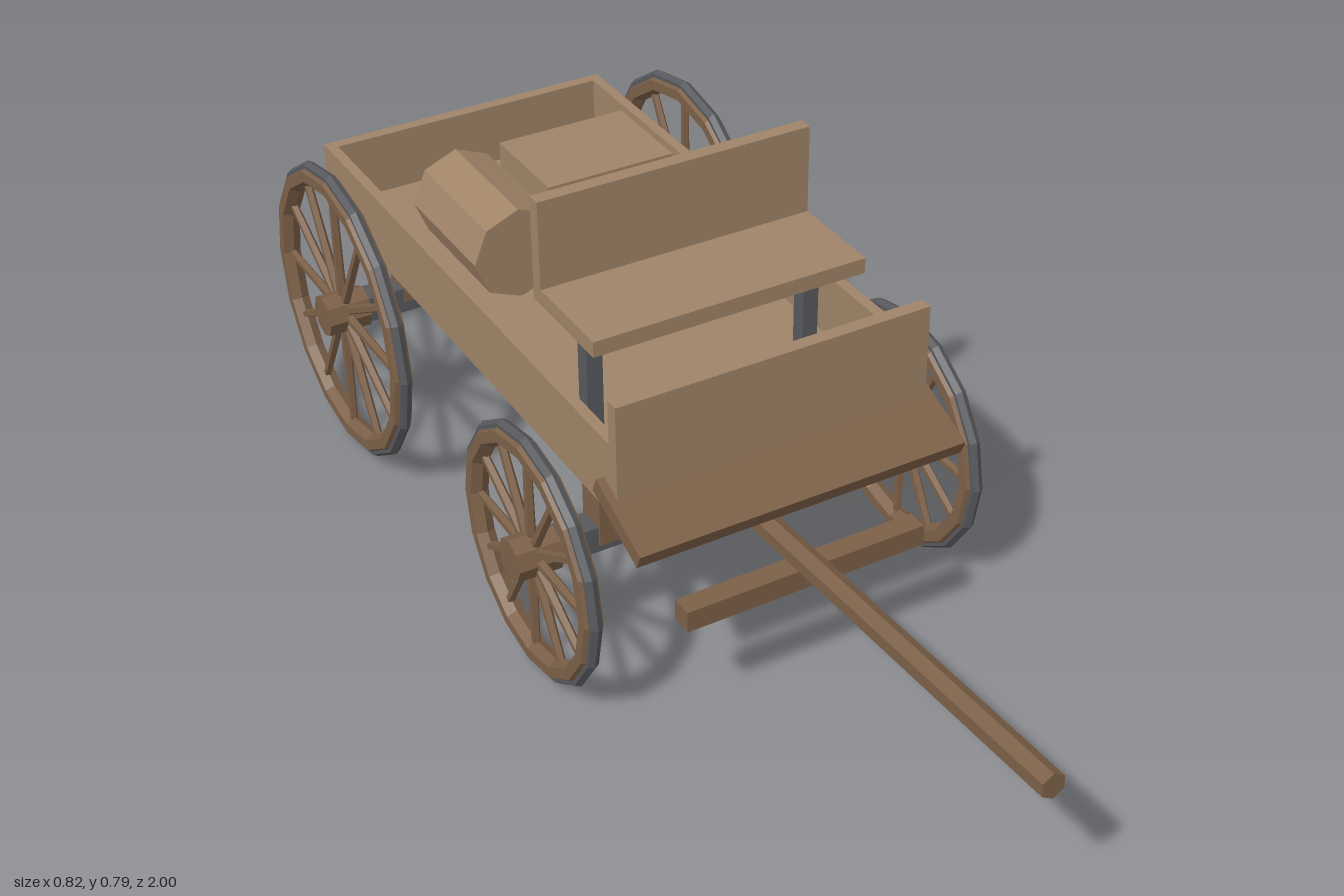
import * as THREE from 'three';

const mat = (name, color) => {
  const m = new THREE.MeshStandardMaterial({ color });
  m.name = name;
  m.flatShading = true;
  return m;
};

export function createModel() {
  const paleWood = mat('pale wood', 0xa08468);
  const darkWood = mat('dark wood', 0x7c6048);
  const iron = mat('iron', 0x58595d);

  const wagon = new THREE.Group();
  wagon.name = 'wagon';

  const add = (name, geometry, material, parent = wagon) => {
    const mesh = new THREE.Mesh(geometry, material);
    mesh.name = name;
    parent.add(mesh);
    return mesh;
  };
  // Box given by its limits on each axis
  const box = (name, material, [x0, x1], [y0, y1], [z0, z1]) => {
    const mesh = add(name, new THREE.BoxGeometry(x1 - x0, y1 - y0, z1 - z0), material);
    mesh.position.set((x0 + x1) / 2, (y0 + y1) / 2, (z0 + z1) / 2);
    return mesh;
  };

  // Wagon bed
  box('floor', paleWood, [-0.285, 0.285], [0.367, 0.4], [-0.925, 0.22]);
  box('tailgate', paleWood, [-0.295, 0.295], [0.395, 0.52], [-0.933, -0.91]);
  box('dashboard', paleWood, [-0.295, 0.295], [0.39, 0.602], [0.21, 0.235]);
  for (const s of [-1, 1]) {
    const wall = box('sideWall', paleWood, [-0.01, 0.01], [0.385, 0.52], [-0.91, 0.215]);
    wall.position.x = s * 0.285;
  }

  // Sloping footboard
  const footboard = add('footboard', new THREE.BoxGeometry(0.62, 0.03, 0.156), darkWood);
  footboard.position.set(0, 0.401, 0.258);
  footboard.rotation.x = 0.4;

  // Driver's seat
  box('seat', paleWood, [-0.258, 0.258], [0.604, 0.633], [-0.113, 0.095]);
  box('seatBack', paleWood, [-0.258, 0.258], [0.633, 0.797], [-0.113, -0.087]);
  for (const s of [-1, 1]) {
    const post = box('seatPost', iron, [-0.015, 0.015], [0.4, 0.604], [-0.025, 0.005]);
    post.position.x = s * 0.21;
  }

  // Cargo
  box('crate', paleWood, [-0.03, 0.23], [0.4, 0.555], [-0.71, -0.51]);
  const barrel = add('barrel', new THREE.CylinderGeometry(0.09, 0.09, 0.26, 8), paleWood);
  barrel.rotation.x = Math.PI / 2;
  barrel.position.set(-0.13, 0.488, -0.56);

  // Running gear
  box('frontBolster', darkWood, [-0.258, 0.258], [0.23, 0.368], [0.04, 0.1]);
  box('rearBolster', darkWood, [-0.258, 0.258], [0.29, 0.368], [-0.74, -0.68]);
  box('reach', darkWood, [-0.025, 0.025], [0.245, 0.29], [-0.74, 0.07]);
  box('crossbar', darkWood, [-0.23, 0.23], [0.206, 0.246], [0.303, 0.343]);

  // Hexagonal draught pole, rising towards the front
  const rear = new THREE.Vector3(0, 0.242, 0.05);
  const front = new THREE.Vector3(0, 0.296, 0.998);
  const along = front.clone().sub(rear);
  const pole = add('pole', new THREE.CylinderGeometry(0.023, 0.023, along.length(), 6), darkWood);
  pole.position.copy(rear).add(front).multiplyScalar(0.5);
  pole.rotation.x = Math.atan2(along.z, along.y);

  // Wheel in its own xy plane, turned so the hub lies along x
  const makeWheel = (name, radius) => {
    const wheel = new THREE.Group();
    wheel.name = name;
    add('tyre', new THREE.TorusGeometry(radius - 0.012, 0.012, 6, 16), iron, wheel);
    add('rim', new THREE.TorusGeometry(radius - 0.027, 0.02, 6, 16), darkWood, wheel);
    const hub = add('hub', new THREE.CylinderGeometry(0.04, 0.04, 0.083, 8), darkWood, wheel);
    hub.rotation.x = Math.PI / 2;
    const length = radius - 0.05;
    const spokeShape = new THREE.CylinderGeometry(0.008, 0.01, length, 5);
    spokeShape.translate(0, 0.02 + length / 2, 0);
    for (let i = 0; i < 12; i++) {
      add('spoke', spokeShape, darkWood, wheel).rotation.z = (i * Math.PI) / 6;
    }
    wheel.rotation.y = Math.PI / 2;
    return wheel;
  };

  // Axles with a wheel at each end
  for (const [end, z, y, radius] of [['front', 0.07, 0.24, 0.236], ['rear', -0.708, 0.292, 0.29]]) {
    box(end + 'Axle', iron, [-0.35, 0.35], [y - 0.025, y + 0.025], [z - 0.025, z + 0.025]);
    for (const s of [-1, 1]) {
      const wheel = makeWheel(end + 'Wheel', radius);
      wheel.position.set(s * 0.371, y, z);
      wagon.add(wheel);
    }
  }

  return wagon;
}
